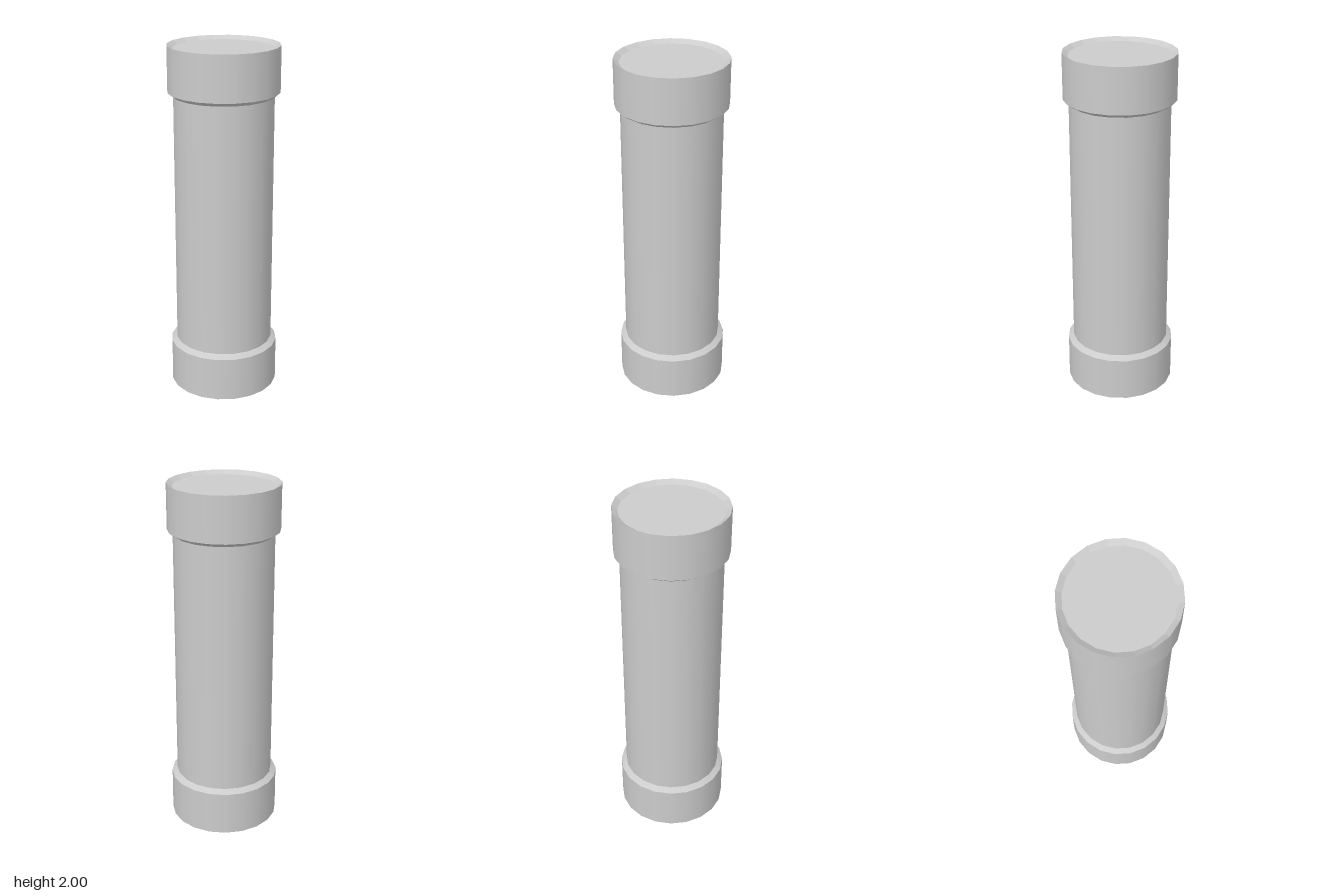
import * as THREE from 'three';

const SIDES = 20;
const R = 0.28;       // shaft radius
const RIM = 0.311;    // collar radius
const DISH = 0.02;    // depth of the recessed ends

function lathe(name, profile, material) {
  const points = profile.map(([r, y]) => new THREE.Vector2(r, y));
  const mesh = new THREE.Mesh(new THREE.LatheGeometry(points, SIDES), material);
  mesh.name = name;
  return mesh;
}

// Collar with a bevel to the shaft and a dished end, built for the bottom
function createCollar(name, smooth, flat) {
  const group = new THREE.Group();
  group.name = name;
  group.add(
    lathe('collarWall', [[RIM, 0], [RIM, 0.255]], smooth),
    lathe('collarBevel', [[RIM, 0.255], [R, 0.277]], smooth),
    lathe('dishedRim', [[R, DISH], [RIM, 0]], flat),
    lathe('endCap', [[0, DISH], [R, DISH]], flat)
  );
  return group;
}

export function createModel() {
  const model = new THREE.Group();
  model.name = 'column';
  const smooth = new THREE.MeshStandardMaterial({ color: 0xcccccc });
  const flat = new THREE.MeshStandardMaterial({ color: 0xcccccc, flatShading: true });

  // Shaft
  model.add(lathe('shaft', [[R, 0.277], [R, 1.723]], smooth));

  // Matching collars, the upper one turned over
  const lower = createCollar('lowerCollar', smooth, flat);
  const upper = createCollar('upperCollar', smooth, flat);
  upper.rotation.x = Math.PI;
  upper.position.y = 2;
  model.add(lower, upper);
  return model;
}
